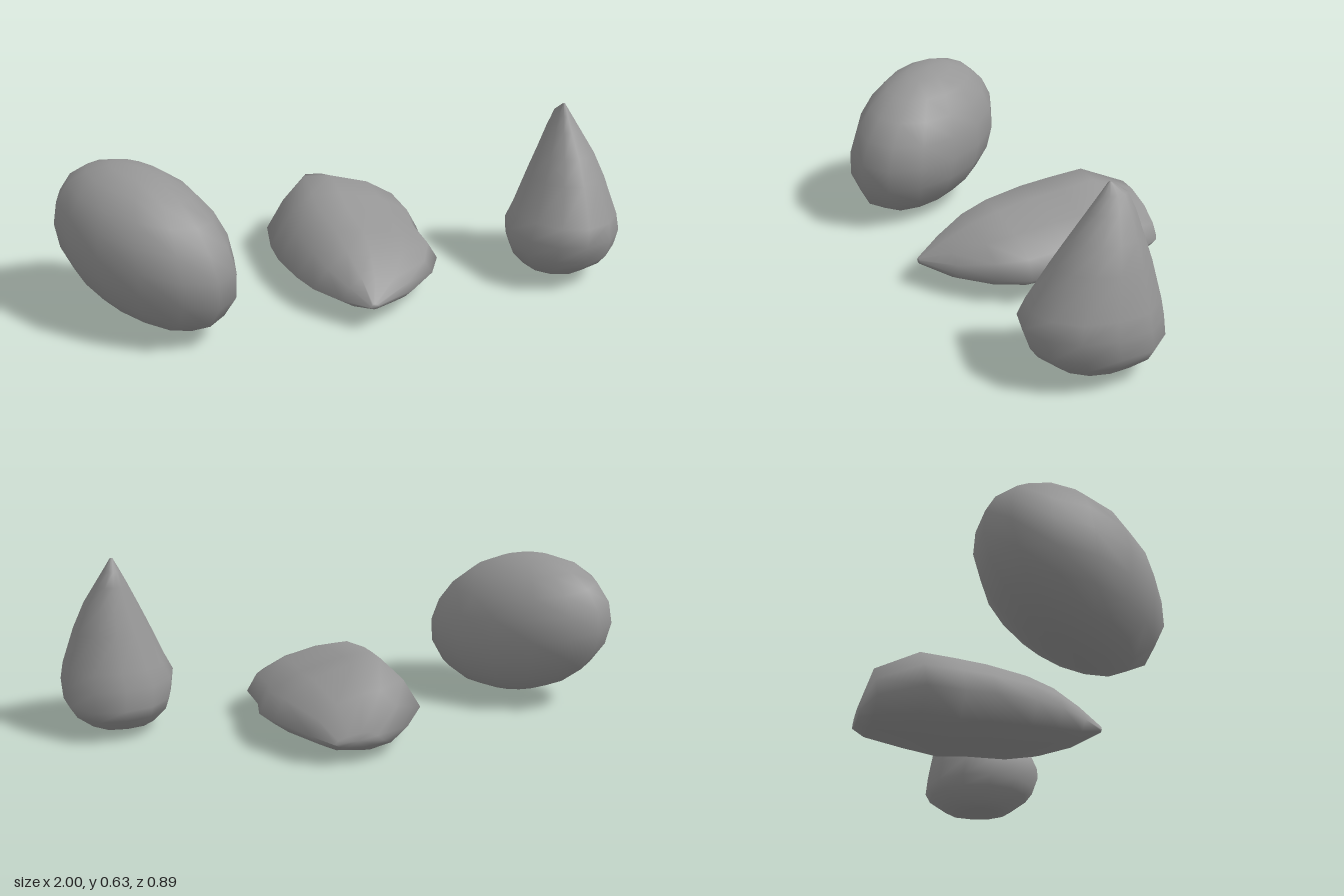
import * as THREE from 'three';

const material = new THREE.MeshStandardMaterial({ color: 0x969696 });

// Smooth closed skin over rings that run counter-clockwise around the loft axis
function loft(rings) {
  const n = rings[0].length, last = (rings.length - 1) * n;
  const points = rings.flat(), index = [];
  for (let i = 0; i < rings.length - 1; i++) {
    for (let j = 0; j < n; j++) {
      const a = i * n + j, b = i * n + (j + 1) % n;
      index.push(a, b, b + n, a, b + n, a + n);
    }
  }
  // close both ends around their centre points
  for (const ring of [rings[0], rings[rings.length - 1]]) {
    const c = new THREE.Vector3();
    ring.forEach((p) => c.addScaledVector(p, 1 / n));
    points.push(c);
  }
  for (let j = 0; j < n; j++) {
    const k = (j + 1) % n;
    index.push(points.length - 2, k, j, points.length - 1, last + j, last + k);
  }
  const g = new THREE.BufferGeometry().setFromPoints(points);
  g.setIndex(index);
  g.computeVertexNormals();
  return g;
}

// Egg-shaped stone: a unit sphere with a low front corner, stretched and sheared
function roundStoneGeometry() {
  const g = new THREE.SphereGeometry(1.01, 14, 10);
  const corner = new THREE.Vector3(0.5, -0.5, 0.7).normalize();
  const position = g.attributes.position, p = new THREE.Vector3();
  for (let i = 0; i < position.count; i++) {
    p.fromBufferAttribute(position, i);
    p.multiplyScalar(1 + 0.12 * Math.max(0, p.dot(corner)) ** 4);
    position.setXYZ(i, p.x, p.y, p.z);
  }
  g.applyMatrix4(new THREE.Matrix4().set(
    0.28, 0, 0, -0.72,
    -0.043, 0.2615, 0, 0.287,
    0.129, -0.025, 0.2965, 0.103,
    0, 0, 0, 1));
  return g;
}

// Low, long stone: one lopsided section resized along z
function flatStoneGeometry() {
  const section = [[1, 0.33], [0.93, 0.6], [0.74, 0.82], [0.47, 0.97], [0.28, 1], [0.12, 0.7],
    [0, 0.33], [0.17, 0.09], [0.4, 0], [0.74, 0.05], [0.9, 0.17]];
  // z, x min, x max, y min, y max
  const stations = [
    [-0.44, 0, 0.17, 0.06, 0.11], [-0.395, -0.1, 0.24, 0.03, 0.24], [-0.24, -0.2, 0.33, 0.015, 0.3],
    [-0.11, -0.22, 0.35, 0, 0.285], [0, -0.22, 0.33, 0.005, 0.27], [0.15, -0.195, 0.335, 0.015, 0.25],
    [0.25, -0.16, 0.28, 0.025, 0.217], [0.35, -0.09, 0.17, 0.045, 0.162], [0.435, -0.01, 0.02, 0.08, 0.1]];
  return loft(stations.map(([z, x0, x1, y0, y1]) => section.map(([u, v]) =>
    new THREE.Vector3(x0 + (x1 - x0) * u, y0 + (y1 - y0) * v, z))));
}

// Pointed stone: rounded sections stacked upward to an off-centre tip
function pointedStoneGeometry() {
  const sides = 12;
  // y, x min, x max, z min, z max
  const levels = [
    [0.017, 0.72, 0.87, 0.1, 0.25], [0.03, 0.67, 0.91, 0.04, 0.3], [0.08, 0.625, 0.97, -0.02, 0.365],
    [0.12, 0.61, 0.995, -0.038, 0.395], [0.19, 0.598, 1, -0.03, 0.42], [0.25, 0.628, 0.99, -0.018, 0.4],
    [0.38, 0.685, 0.95, 0.012, 0.318], [0.46, 0.722, 0.917, 0.034, 0.262], [0.54, 0.76, 0.87, 0.053, 0.202],
    [0.59, 0.785, 0.84, 0.072, 0.165], [0.628, 0.805, 0.815, 0.125, 0.135]];
  return loft(levels.map(([y, x0, x1, z0, z1]) => Array.from({ length: sides }, (_, i) => {
    const t = (i / sides) * Math.PI * 2;
    // fuller back left corner
    const r = t < Math.PI / 2 ? 1 + 0.12 * Math.sin(2 * t) ** 2 : 1;
    return new THREE.Vector3(
      (x0 + x1) / 2 + (x1 - x0) / 2 * r * Math.cos(t), y,
      (z0 + z1) / 2 - (z1 - z0) / 2 * r * Math.sin(t));
  })));
}

export function createModel() {
  const group = new THREE.Group();
  group.name = 'stones';
  const parts = {
    roundStone: roundStoneGeometry(),
    flatStone: flatStoneGeometry(),
    pointedStone: pointedStoneGeometry(),
  };
  for (const [name, geometry] of Object.entries(parts)) {
    const mesh = new THREE.Mesh(geometry, material);
    mesh.name = name;
    group.add(mesh);
  }
  return group;
}
